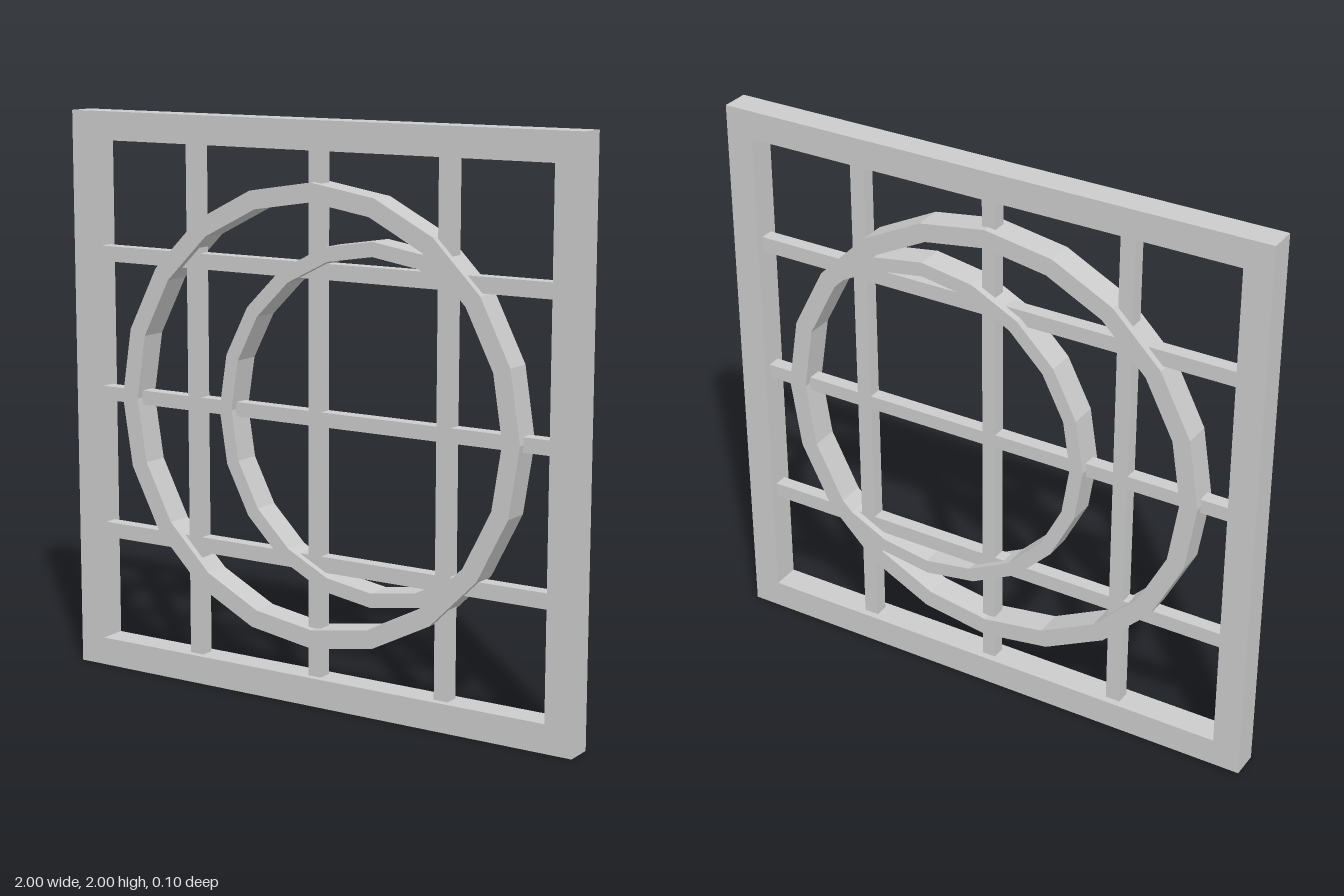
import * as THREE from 'three';

const material = new THREE.MeshStandardMaterial({ color: 0xcccccc, flatShading: true });
const DEPTH = 0.1;   // frame and rings
const BAR_DEPTH = 0.05;
const CY = 1;        // height of the panel centre

// Point on a circle around (cx, CY), angle in 18 degree steps
function vertex(cx, radius, step) {
  const a = (step * Math.PI) / 10;
  return new THREE.Vector2(cx + radius * Math.cos(a), CY + radius * Math.sin(a));
}

// Run of 20-gon corners from one step to another, in either direction
function arc(cx, radius, from, to) {
  const points = [];
  const dir = Math.sign(to - from);
  for (let i = from; i !== to + dir; i += dir) points.push(vertex(cx, radius, i));
  return points;
}

function plate(name, outline, holes) {
  const shape = new THREE.Shape(outline);
  holes.forEach((h) => shape.holes.push(new THREE.Path(h)));
  const geometry = new THREE.ExtrudeGeometry(shape, { depth: DEPTH, bevelEnabled: false });
  geometry.translate(0, 0, -DEPTH / 2);
  const mesh = new THREE.Mesh(geometry, material);
  mesh.name = name;
  return mesh;
}

function square(half) {
  return [[-1, -1], [1, -1], [1, 1], [-1, 1]].map(([x, y]) => new THREE.Vector2(x * half, CY + y * half));
}

function bar(name, w, h, x, y) {
  const mesh = new THREE.Mesh(new THREE.BoxGeometry(w, h, BAR_DEPTH), material);
  mesh.position.set(x, y, 0);
  mesh.name = name;
  return mesh;
}

export function createModel() {
  const group = new THREE.Group();
  group.name = 'windowPanel';

  // Square outer frame
  group.add(plate('frame', square(1), [square(0.9)]));

  // Lattice of three upright and three level bars
  const lattice = new THREE.Group();
  lattice.name = 'lattice';
  for (const p of [-0.5, 0, 0.5]) {
    const width = p === 0 ? 0.05 : 0.054;
    lattice.add(bar('uprightBar', width, 1.82, p, CY));
    lattice.add(bar('levelBar', 1.82, width, 0, CY + p));
  }
  group.add(lattice);

  // Ring with an offset inner ring that merges into its right side, leaving a crescent gap
  const ringInner = 0.73;
  const moonX = 0.24;
  const crescentGap = [
    ...arc(0, ringInner, 3, 17),
    ...arc(moonX, 0.615, 16, 4),
  ];
  const roundOpening = [
    ...arc(moonX, 0.565, 4, 16),
    new THREE.Vector2(0.552, CY - 0.467),
    ...arc(0, ringInner, -3, 3).slice(1, -1),
    new THREE.Vector2(0.552, CY + 0.467),
  ];
  group.add(plate('crescentRing', arc(0, 0.795, 0, 19), [crescentGap, roundOpening]));

  return group;
}
